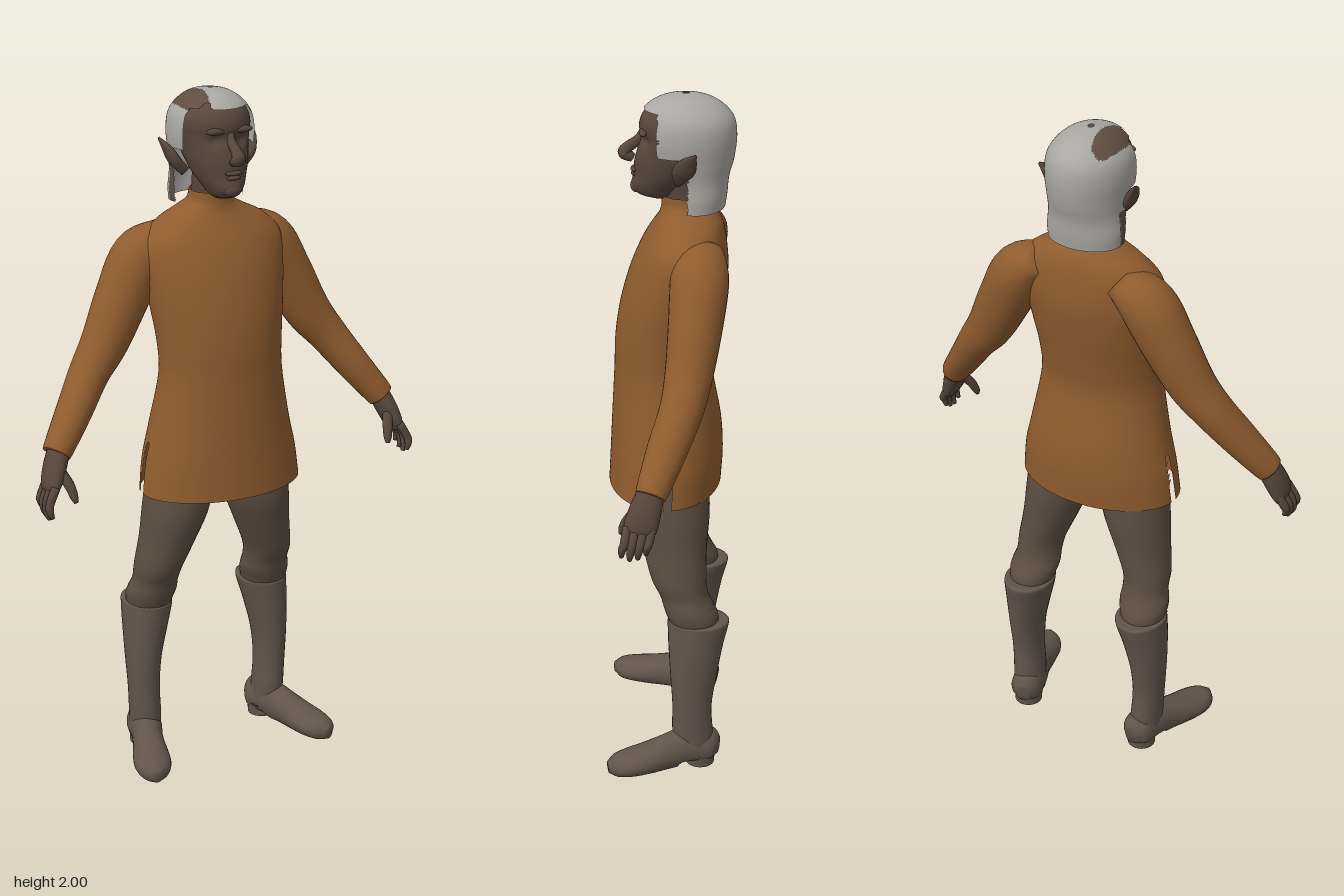
import * as THREE from 'three';

const mat = (name, color, side = THREE.FrontSide) => {
  const m = new THREE.MeshStandardMaterial({ color, side });
  m.name = name;
  return m;
};

// Smooth skin through rings [x, y, z, halfWidth, halfDepth].
// level keeps every ring horizontal (list them upwards); keep(centroid) selects faces; shape(p) adjusts points.
function loft(name, material, rings, { seg = 28, steps = 5, level = false, ref = [0, 0, 1], cap = true, keep, shape } = {}) {
  const path = new THREE.CatmullRomCurve3(rings.map(r => new THREE.Vector3(r[0], r[1], r[2])), false, 'catmullrom');
  const size = new THREE.CatmullRomCurve3(rings.map(r => new THREE.Vector3(r[3], r[4], 0)), false, 'catmullrom');
  const rows = (rings.length - 1) * steps, pts = [], index = [];
  const side = new THREE.Vector3(...ref), u = new THREE.Vector3(), v = new THREE.Vector3();
  for (let i = 0; i <= rows; i++) {
    const c = path.getPoint(i / rows), s = size.getPoint(i / rows);
    const t = level ? new THREE.Vector3(0, 1, 0) : path.getTangent(i / rows);
    u.crossVectors(t, side).normalize();
    v.crossVectors(u, t);
    for (let j = 0; j < seg; j++) {
      const a = j / seg * Math.PI * 2;
      const p = c.clone().addScaledVector(u, Math.cos(a) * Math.max(s.x, 0.001))
        .addScaledVector(v, Math.sin(a) * Math.max(s.y, 0.001));
      if (shape) shape(p);
      pts.push(p);
    }
  }
  const face = (a, b, c) => {
    if (keep) {
      const m = pts[a].clone().add(pts[b]).add(pts[c]).divideScalar(3);
      if (!keep(m)) return;
    }
    index.push(a, b, c);
  };
  for (let i = 0; i < rows; i++) for (let j = 0; j < seg; j++) {
    const k = (j + 1) % seg, a = i * seg + j, b = i * seg + k;
    face(a, a + seg, b);
    face(b, a + seg, b + seg);
  }
  if (cap) {
    const first = pts.length, last = rows * seg;
    const centre = start => pts.slice(start, start + seg)
      .reduce((sum, p) => sum.add(p), new THREE.Vector3()).divideScalar(seg);
    pts.push(centre(0), centre(last));
    for (let j = 0; j < seg; j++) {
      const k = (j + 1) % seg;
      face(first, j, k);
      face(first + 1, last + k, last + j);
    }
  }
  const g = new THREE.BufferGeometry().setFromPoints(pts);
  g.setIndex(index);
  g.computeVertexNormals();
  const mesh = new THREE.Mesh(g, material);
  mesh.name = name;
  return mesh;
}

// Level rings written as [y, halfWidth, frontZ, backZ]
const body = list => list.map(([y, w, f, b]) => [0, y, (f + b) / 2, w, (f - b) / 2]);

export function createModel() {
  const model = new THREE.Group();
  model.name = 'figure';
  const cloth = mat('tunic ochre', 0x8f5c2e, THREE.DoubleSide);
  const trouser = mat('trouser brown', 0x5d4e42);
  const leather = mat('boot brown', 0x62544a);
  const skin = mat('skin brown', 0x57463b);
  const grey = mat('hair grey', 0xa9a7a1, THREE.DoubleSide);
  const bald = mat('hair brown', 0x5f4e41, THREE.DoubleSide);
  const add = (...args) => model.add(loft(...args));

  // Tunic with a side slit on each hip
  add('tunic', cloth, body([
    [0.855, 0.247, 0.175, -0.15], [0.95, 0.235, 0.17, -0.155], [1.05, 0.212, 0.165, -0.148],
    [1.2, 0.185, 0.157, -0.122], [1.3, 0.187, 0.153, -0.132], [1.4, 0.2, 0.138, -0.152],
    [1.5, 0.213, 0.11, -0.165], [1.58, 0.212, 0.075, -0.16], [1.63, 0.165, 0.045, -0.15],
    [1.66, 0.108, 0.028, -0.135], [1.685, 0.068, 0.022, -0.115], [1.715, 0.06, 0.022, -0.107],
  ]), { level: true, seg: 96, cap: false, keep: p => p.y > 1 || Math.abs(p.z) > 0.009 });

  // Seat of the trousers
  add('trouserSeat', trouser, body([
    [0.825, 0.06, 0.03, -0.07], [0.86, 0.16, 0.09, -0.11], [0.95, 0.185, 0.11, -0.125], [1.05, 0.165, 0.1, -0.105],
  ]), { level: true });

  // Neck and head
  add('neck', skin, [[0, 1.6, -0.05, 0.06, 0.06], [0, 1.7, -0.045, 0.053, 0.058], [0, 1.8, -0.03, 0.055, 0.06]], { level: true });
  add('head', skin, body([
    [1.705, 0.02, 0.05, 0.0], [1.718, 0.04, 0.088, -0.02], [1.742, 0.055, 0.105, -0.05], [1.775, 0.073, 0.098, -0.09],
    [1.81, 0.085, 0.096, -0.12], [1.85, 0.095, 0.086, -0.15], [1.885, 0.102, 0.08, -0.16], [1.91, 0.104, 0.083, -0.16],
    [1.94, 0.096, 0.074, -0.15], [1.97, 0.068, 0.045, -0.12], [1.987, 0.025, 0.0, -0.08],
  ]), {
    level: true, seg: 48,
    // Eye sockets
    shape: p => {
      if (p.z > 0) p.z -= 0.014 * Math.exp(-(((Math.abs(p.x) - 0.038) / 0.02) ** 2) - ((p.y - 1.872) / 0.016) ** 2);
    },
  });
  add('nose', skin, [
    [0, 1.895, 0.07, 0.011, 0.01], [0, 1.868, 0.085, 0.012, 0.014], [0, 1.845, 0.115, 0.016, 0.016],
    [0, 1.83, 0.123, 0.021, 0.018], [0, 1.816, 0.1, 0.016, 0.012],
  ], { level: false, seg: 16 });
  const blob = (name, x, y, z, a, b, c) => {
    const m = new THREE.Mesh(new THREE.SphereGeometry(1, 16, 10), skin);
    m.name = name;
    m.position.set(x, y, z);
    m.scale.set(a, b, c);
    model.add(m);
  };
  blob('upperLip', 0, 1.786, 0.095, 0.026, 0.007, 0.012);
  blob('lowerLip', 0, 1.773, 0.094, 0.022, 0.007, 0.012);
  blob('chin', 0, 1.738, 0.09, 0.026, 0.02, 0.018);

  // Swept-back hair with a brown patch on its right side
  const hairRings = body([
    [1.685, 0.11, 0.01, -0.155], [1.72, 0.112, 0.02, -0.16], [1.77, 0.11, 0.05, -0.165], [1.82, 0.114, 0.08, -0.178],
    [1.88, 0.119, 0.092, -0.185], [1.93, 0.112, 0.086, -0.178], [1.965, 0.088, 0.062, -0.15],
    [1.988, 0.055, 0.022, -0.11], [2, 0.008, -0.035, -0.055],
  ]);
  const inHair = p => {
    if (p.y > 1.957) return p.x > -0.045 || p.z < 0.03;
    if (p.y > 1.84) return p.z < (p.x < 0 ? 0.005 : 0.032);
    return p.z < (p.y > 1.79 ? -0.035 : -0.05);
  };
  const inPatch = p => p.x < 0 && (
    (p.y > 1.9 && ((p.x + 0.063) / 0.034) ** 2 + ((p.z + 0.04) / 0.09) ** 2 < 1) ||
    (p.y < 1.79 && p.z > -0.08));
  const hairOptions = { level: true, seg: 80, steps: 8, cap: false };
  add('hair', grey, hairRings, { ...hairOptions, keep: p => inHair(p) && !inPatch(p) });
  add('hairPatch', bald, hairRings, { ...hairOptions, keep: p => inHair(p) && inPatch(p) });

  for (const s of [1, -1]) {
    const side = s > 0 ? 'left' : 'right';
    const pair = (part, material, rings, options) =>
      add(side + part, material, rings.map(([x, ...rest]) => [s * x, ...rest]), options);

    // Pointed ear and brow
    pair('Ear', skin, [
      [0.088, 1.775, -0.025, 0.015, 0.012], [0.115, 1.808, -0.037, 0.016, 0.03],
      [0.13, 1.838, -0.052, 0.012, 0.026], [0.146, 1.867, -0.072, 0.003, 0.004],
    ], { seg: 16 });
    blob(side + 'Brow', s * 0.04, 1.9, 0.07, 0.032, 0.01, 0.012);

    // Sleeve
    pair('Sleeve', cloth, [
      [0.12, 1.59, -0.085, 0.045, 0.065], [0.2, 1.535, -0.085, 0.078, 0.08], [0.26, 1.43, -0.075, 0.078, 0.075],
      [0.325, 1.31, -0.058, 0.068, 0.066], [0.385, 1.23, -0.038, 0.057, 0.06], [0.45, 1.14, 0, 0.05, 0.055],
      [0.51, 1.06, 0.034, 0.043, 0.046], [0.525, 1.04, 0.042, 0.04, 0.042],
    ]);

    // Hand with four fingers and a thumb
    pair('Palm', skin, [
      [0.51, 1.065, 0.036, 0.03, 0.034], [0.535, 1.01, 0.054, 0.03, 0.043],
      [0.553, 0.965, 0.068, 0.024, 0.046], [0.56, 0.94, 0.075, 0.014, 0.038],
    ], { seg: 20 });
    for (let i = 0; i < 4; i++) {
      const z = 0.038 + i * 0.022, drop = [0.018, 0.004, 0, 0.01][i];
      pair('Finger', skin, [
        [0.555, 0.965, z, 0.013, 0.013], [0.577, 0.925, z + 0.008, 0.0125, 0.012],
        [0.58, 0.895 + drop, z + 0.014, 0.011, 0.011], [0.573, 0.873 + drop, z + 0.016, 0.006, 0.006],
      ], { seg: 10, steps: 3 });
    }
    pair('Thumb', skin, [
      [0.535, 1.01, 0.07, 0.016, 0.016], [0.515, 0.968, 0.102, 0.015, 0.014],
      [0.507, 0.935, 0.118, 0.012, 0.012], [0.504, 0.918, 0.124, 0.006, 0.006],
    ], { seg: 10, steps: 3 });

    // Trouser leg, bunched above the boot
    pair('TrouserLeg', trouser, [
      [0.193, 0.45, -0.08, 0.06, 0.065], [0.192, 0.495, -0.07, 0.07, 0.075], [0.188, 0.525, -0.058, 0.073, 0.073],
      [0.184, 0.56, -0.045, 0.067, 0.071], [0.18, 0.61, -0.03, 0.07, 0.08], [0.155, 0.7, -0.018, 0.082, 0.093],
      [0.131, 0.8, -0.01, 0.096, 0.108], [0.115, 0.92, -0.01, 0.095, 0.105],
    ], { level: true });

    // Boot shaft and out-turned foot
    pair('BootShaft', leather, [
      [0.207, 0.04, -0.08, 0.047, 0.055], [0.21, 0.11, -0.072, 0.046, 0.06], [0.214, 0.2, -0.07, 0.046, 0.058],
      [0.213, 0.3, -0.074, 0.052, 0.068], [0.203, 0.4, -0.08, 0.065, 0.08], [0.194, 0.465, -0.087, 0.073, 0.089],
      [0.194, 0.48, -0.087, 0.071, 0.087], [0.194, 0.48, -0.087, 0.055, 0.065],
    ], { level: true });
    pair('Foot', leather, [
      [0.195, 0.05, -0.148, 0.02, 0.03], [0.2, 0.055, -0.12, 0.046, 0.058], [0.213, 0.058, -0.06, 0.048, 0.063],
      [0.235, 0.05, 0, 0.046, 0.055], [0.256, 0.04, 0.06, 0.053, 0.045], [0.272, 0.034, 0.11, 0.055, 0.038],
      [0.284, 0.03, 0.152, 0.042, 0.032], [0.29, 0.027, 0.178, 0.014, 0.018],
    ], { ref: [0, 1, 0], shape: p => { p.y = Math.max(p.y, p.z < -0.03 ? 0.025 : 0.005); } });

    // Boot heel
    const heel = new THREE.Mesh(new THREE.CylinderGeometry(0.044, 0.042, 0.04, 24), leather);
    heel.name = side + 'BootHeel';
    heel.position.set(s * 0.204, 0.02, -0.095);
    model.add(heel);
  }
  return model;
}
